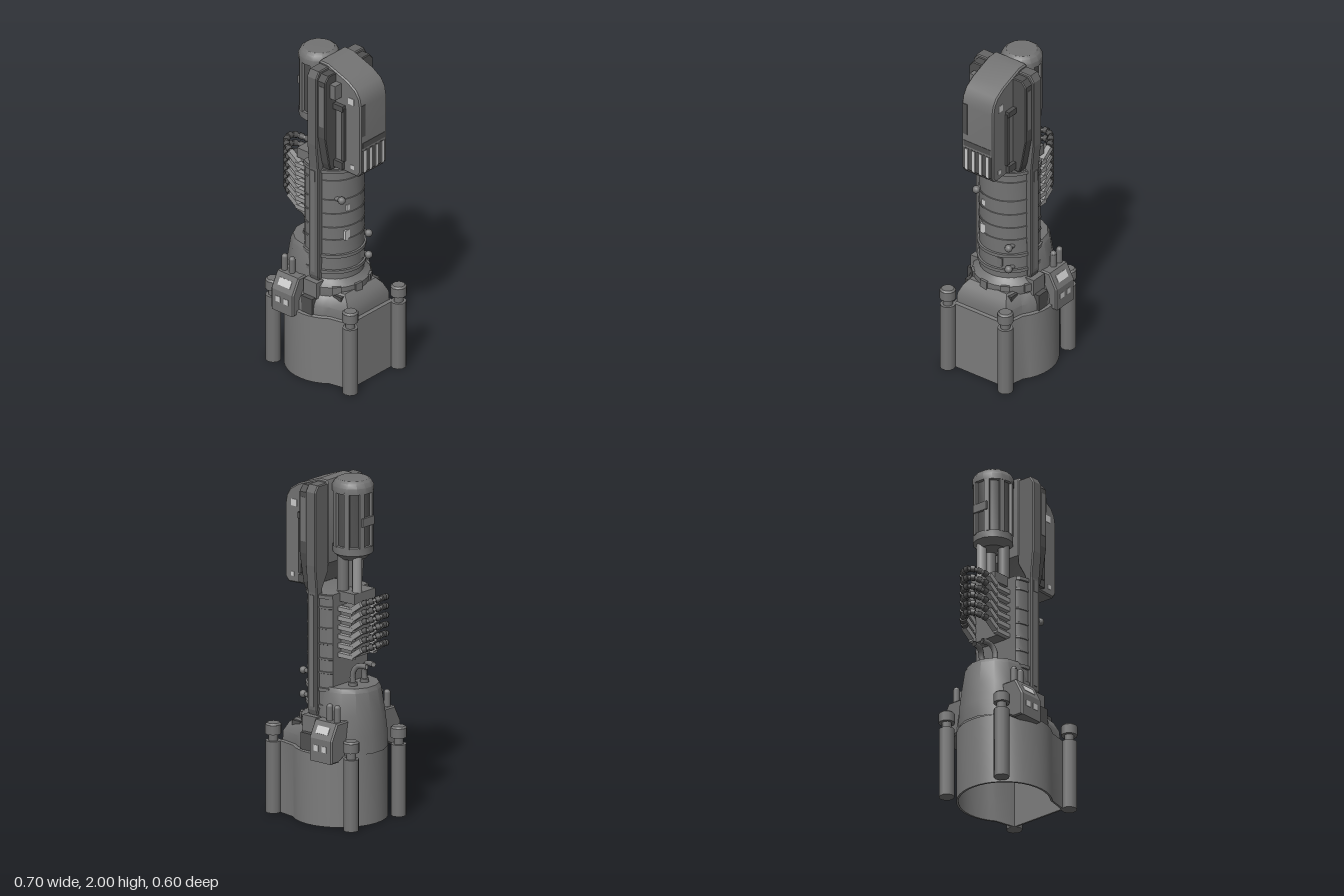
import * as THREE from 'three';
import { toCreasedNormals } from 'three/addons/utils/BufferGeometryUtils.js';

const paint = color => new THREE.MeshStandardMaterial({ color, side: THREE.DoubleSide });
const mid = paint(0x737373), light = paint(0x999999), dark = paint(0x505050), pale = paint(0xcccccc);
const tones = {
  pistonRod: light, hoseBar: light, hoseArm: light, baseShell: paint(0x7c7c7c),
  mast: paint(0x666666), mastCheek: dark, motorCore: dark, lever: dark, leverPivot: dark, hoseBead: dark, headSlot: dark,
  deckBlock: dark, controlLid: pale, controlPlate: pale, headPlate: pale, columnPlate: pale, headSlat: pale,
};

export function createModel() {
  const root = new THREE.Group();

  const add = (name, geo, x = 0, y = 0, z = 0) => {
    const m = new THREE.Mesh(geo, tones[name] || mid);
    m.name = name;
    m.position.set(x, y, z);
    root.add(m);
    return m;
  };
  const box = (name, w, h, d, x, y, z) => add(name, new THREE.BoxGeometry(w, h, d), x, y, z);
  // upright cylinder from y0 to y1
  const cyl = (name, r, y0, y1, x, z, sides = 12, r0 = r) =>
    add(name, new THREE.CylinderGeometry(r, r0, y1 - y0, sides), x, (y0 + y1) / 2, z);
  // turned part; profile is a list of [radius, y]
  const lathe = (profile, sides) => new THREE.LatheGeometry(profile.map(p => new THREE.Vector2(...p)), sides);
  const turned = (name, profile, x, sides) => add(name, toCreasedNormals(lathe(profile, sides), 0.5), x);
  const shapeOf = pts => new THREE.Shape(pts.map(p => new THREE.Vector2(...p)));
  const extrude = (shape, depth, bevel = 0) => new THREE.ExtrudeGeometry(shape, {
    depth, bevelEnabled: bevel > 0, bevelSize: bevel, bevelThickness: bevel, bevelOffset: -bevel, bevelSegments: 1,
  });
  // slab with a [z, y] profile, running from x0 to x1
  const slabX = (name, pts, x0, x1, bevel = 0) => {
    const g = extrude(shapeOf(pts.map(([z, y]) => [-z, y])), x1 - x0 - 2 * bevel, bevel);
    return add(name, g.rotateY(Math.PI / 2), x0 + bevel);
  };

  // Plan outline of the base: round on one end, tapered box on the other
  const outline = (r, cx, endX, endZ) => {
    const pts = [];
    for (let i = 0; i <= 28; i++) {
      const a = 0.9 + (i / 28) * (2 * Math.PI - 1.8);
      pts.push([cx + r * Math.cos(a), r * Math.sin(a)]);
    }
    pts.push([endX, -endZ], [endX, endZ]);
    return pts;
  };

  // Hollow base shell, open below
  const outer = outline(0.272, -0.015, 0.283, 0.187);
  const shell = shapeOf(outer);
  shell.holes.push(shapeOf(outline(0.26, -0.015, 0.272, 0.176)));
  add('baseShell', toCreasedNormals(extrude(shell, 0.42).rotateX(-Math.PI / 2), 0.5));

  // Sloped deck inside a flat rim, lofted over the same outline
  const levels = [[0.415, 0.99], [0.425, 0.93], [0.48, 0.92], [0.53, 0.82], [0.56, 0.7]];
  const pos = [], idx = [], n = outer.length;
  for (const [y, s] of levels) for (const [x, z] of outer) pos.push(x * s, y, -z * s);
  for (let l = 0; l < levels.length - 1; l++) for (let i = 0; i < n; i++) {
    const a = l * n + i, b = l * n + (i + 1) % n;
    idx.push(a, b, b + n, a, b + n, a + n);
  }
  const top = (levels.length - 1) * n;
  for (let i = 1; i < n - 1; i++) idx.push(top, top + i, top + i + 1, 0, i + 1, i);
  const deck = new THREE.BufferGeometry();
  deck.setAttribute('position', new THREE.Float32BufferAttribute(pos, 3));
  deck.setIndex(idx);
  add('baseDeck', toCreasedNormals(deck, 0.5));

  // Corner posts with capped necks
  for (const x of [-0.275, 0.306]) for (const z of [-0.205, 0.205]) {
    cyl('cornerPost', 0.045, 0, 0.42, x, z, 10);
    cyl('postNeck', 0.028, 0.42, 0.46, x, z, 10);
    cyl('postCap', 0.047, 0.46, 0.515, x, z, 10);
    cyl('postCapTop', 0.036, 0.515, 0.525, x, z, 10, 0.046);
  }

  // Collar, then the banded column, cut flat on the hose side
  turned('collar', [[0.2, 0.5], [0.215, 0.53], [0.215, 0.59], [0.19, 0.61], [0.175, 0.63], [0, 0.63]], -0.008, 28);
  const profile = [[0, 0.62], [0.176, 0.62]];
  for (const [y, h, r] of [[0.665, 0.02, 0.188], [0.765, 0.02, 0.188], [0.87, 0.01, 0.181], [0.95, 0.01, 0.181],
    [1.04, 0.008, 0.181], [1.13, 0.008, 0.181], [1.25, 0.012, 0.181], [1.31, 0.02, 0.186]])
    profile.push([0.177, y - 0.002], [r, y], [r, y + h], [0.177, y + h + 0.002]);
  profile.push([0.177, 1.335], [0, 1.335]);
  const columnGeo = lathe(profile, 32), cp = columnGeo.attributes.position;
  for (let i = 0; i < cp.count; i++) cp.setX(i, Math.max(cp.getX(i), -0.085));
  add('column', toCreasedNormals(columnGeo, 0.5), -0.006);
  for (let i = 0; i < 10; i++) {
    const a = (i / 10) * Math.PI * 2 + 0.2;
    const lug = box('collarLug', 0.05, 0.05, 0.03, -0.008 + 0.207 * Math.sin(a), 0.57, 0.207 * Math.cos(a));
    lug.rotation.y = a;
  }
  // Knobs and plates on the column
  for (const [y, z] of [[1.145, 0.115], [0.84, -0.115], [0.7, -0.115]]) {
    const stem = add('knobStem', new THREE.CylinderGeometry(0.014, 0.014, 0.05, 8), 0.142, y, z);
    stem.rotation.z = Math.PI / 2;
    add('knob', new THREE.SphereGeometry(0.023, 10, 8), 0.16, y, z);
  }
  box('columnPlate', 0.015, 0.06, 0.05, 0.156, 0.905, 0.06);
  box('columnPlate', 0.015, 0.035, 0.03, 0.156, 1.08, 0.06);
  box('columnFitting', 0.015, 0.05, 0.045, 0.159, 0.73, -0.05);

  // Shoulder housing, hose bracket and rods up to the motor
  turned('shoulderHousing', [[0.215, 0.42], [0.212, 0.52], [0.198, 0.64], [0.178, 0.77], [0.165, 0.795], [0, 0.795]], -0.088, 14);
  box('hoseBracket', 0.08, 0.3, 0.16, -0.13, 1.11, 0);
  box('rodMount', 0.12, 0.06, 0.18, -0.14, 1.315, 0);
  cyl('pistonRod', 0.028, 1.3, 1.56, -0.172, -0.035, 12);
  for (const z of [-0.05, 0.05]) cyl('innerRod', 0.034, 1.3, 1.6, -0.08, z, 12);

  // Motor: end caps over a recessed core with ribs
  turned('motorCore', [[0.104, 1.6], [0.104, 1.93]], -0.112, 14);
  turned('motorBase', [[0, 1.53], [0.075, 1.53], [0.1, 1.555], [0.115, 1.565], [0.115, 1.61], [0.1, 1.615]], -0.112, 14);
  turned('motorCap', [[0.1, 1.92], [0.119, 1.925], [0.119, 1.96], [0.106, 1.985], [0.088, 1.998], [0, 2]], -0.112, 14);
  for (let i = 0; i < 8; i++) {
    const a = ((i + 0.5) / 8) * Math.PI * 2;
    const rib = box('motorRib', 0.03, 0.33, 0.02, -0.112 + 0.106 * Math.sin(a), 1.77, 0.106 * Math.cos(a));
    rib.rotation.y = a;
  }
  box('motorClamp', 0.03, 0.05, 0.1, -0.214, 1.76, 0);

  // Head housing with slats on its outer end
  const head = shapeOf([[-0.02, 1.965], [-0.01, 1.985], [0.05, 1.985], [0.2, 1.93], [0.262, 1.89], [0.29, 1.845], [0.3, 1.79],
    [0.3, 1.37], [0.275, 1.337], [0.1, 1.345], [0.05, 1.42], [-0.02, 1.5]]);
  add('headHousing', toCreasedNormals(extrude(head, 0.208, 0.008), 0.5), 0, 0, -0.104);
  box('headSlot', 0.01, 0.035, 0.19, 0.297, 1.54, 0);
  box('headSlot', 0.01, 0.2, 0.03, 0.297, 1.7, 0.085);
  box('headSlot', 0.01, 0.14, 0.2, 0.296, 1.44, 0);
  for (let i = 0; i < 4; i++) box('headSlat', 0.01, 0.14, 0.018, 0.298, 1.435, -0.075 + i * 0.05);

  // Front and rear sides mirrored
  for (const s of [-1, 1]) {
    const side = pts => pts.map(([z, y]) => [z * s, y]);
    slabX('mast', side([[0.165, 0.62], [0.19, 0.62], [0.2, 0.65], [0.2, 1.34], [0.215, 1.5], [0.215, 1.93], [0.19, 1.97],
      [0.1, 1.97], [0.1, 1.45], [0.15, 1.36]]), -0.015, 0.058, 0.006);
    slabX('mastCheek', side([[0.1, 1.34], [0.155, 1.34], [0.17, 1.38], [0.203, 1.56], [0.203, 1.92], [0.175, 1.955], [0.1, 1.955]]), 0.055, 0.115, 0.005);
    box('mastRail', 0.025, 0.62, 0.01, 0.02, 0.98, 0.198 * s);
    box('mastBlock', 0.03, 0.07, 0.01, 0.02, 1.29, 0.2 * s);
    box('cheekPlate', 0.035, 0.26, 0.01, 0.085, 1.76, 0.2 * s);

    // Side lever on the head
    box('lever', 0.022, 0.34, 0.02, 0.178, 1.58, 0.116 * s);
    box('leverPivot', 0.07, 0.045, 0.03, 0.145, 1.38, 0.118 * s);
    box('leverPivot', 0.07, 0.035, 0.035, 0.15, 1.75, 0.12 * s);
    box('headPlate', 0.04, 0.04, 0.006, 0.23, 1.81, 0.112 * s);
    box('headPlate', 0.025, 0.025, 0.006, 0.24, 1.39, 0.112 * s);

    // Chamfered control box with plates and pegs
    slabX('controlBox', side([[0.18, 0.42], [0.235, 0.39], [0.3, 0.39], [0.3, 0.525], [0.25, 0.62], [0.15, 0.62]]), -0.21, -0.042, 0.008);
    for (const x of [-0.155, -0.095]) box('controlPlate', 0.035, 0.035, 0.006, x, 0.47, 0.299 * s);
    const lid = box('controlLid', 0.09, 0.045, 0.006, -0.125, 0.573, 0.275 * s);
    lid.rotation.x = -0.48 * s;
    for (const x of [-0.18, -0.125]) {
      cyl('peg', 0.019, 0.6, 0.7, x, 0.215 * s, 10);
      add('pegTip', new THREE.SphereGeometry(0.019, 10, 6, 0, Math.PI * 2, 0, Math.PI / 2), x, 0.7, 0.215 * s);
    }

    // Deck fittings
    box('mastFoot', 0.1, 0.1, 0.06, 0.02, 0.57, 0.195 * s);
    box('deckBlock', 0.08, 0.1, 0.04, 0.02, 0.475, 0.235 * s);
    box('deckBlock', 0.06, 0.07, 0.05, 0.17, 0.515, 0.14 * s);

    // Bent pipe above the shoulder
    const bend = [[-0.155, 0.78, 0.05], [-0.155, 0.87, 0.05], [-0.18, 0.91, 0.04], [-0.24, 0.915, 0.03]];
    add('shoulderPipe', new THREE.TubeGeometry(new THREE.CatmullRomCurve3(bend.map(p => new THREE.Vector3(p[0], p[1], p[2] * s))), 10, 0.016, 8));
    cyl('pipeFlange', 0.026, 0.79, 0.815, -0.155, 0.05 * s, 10);
  }
  box('headGadget', 0.05, 0.09, 0.06, 0.13, 1.855, 0.135);

  // Stack of looped hoses with end bars and beads
  for (let i = 0; i < 6; i++) {
    const y = 0.975 + i * 0.054;
    const half = [[-0.19, y + 0.01, 0.092], [-0.245, y + 0.05, 0.085], [-0.295, y + 0.07, 0.065], [-0.325, y + 0.085, 0.035]];
    const path = [...half, [-0.335, y + 0.09, 0], ...half.slice().reverse().map(p => [p[0], p[1], -p[2]])];
    const curve = new THREE.CatmullRomCurve3(path.map(p => new THREE.Vector3(...p)));
    add('hoseLoop', new THREE.TubeGeometry(curve, 24, 0.012, 6));
    for (let k = 0; k <= 6; k++) {
      const u = 0.23 + k * 0.09, p = curve.getPointAt(u);
      const bead = add('hoseBead', new THREE.CylinderGeometry(0.019, 0.019, 0.026, 8), p.x, p.y, p.z);
      bead.quaternion.setFromUnitVectors(new THREE.Vector3(0, 1, 0), curve.getTangentAt(u));
    }
    for (const s of [-1, 1]) {
      box('hoseBar', 0.115, 0.026, 0.032, -0.142, y, 0.092 * s);
      const arm = box('hoseArm', 0.085, 0.03, 0.034, -0.22, y + 0.03, 0.089 * s);
      arm.rotation.z = -0.62;
    }
  }

  return root;
}
